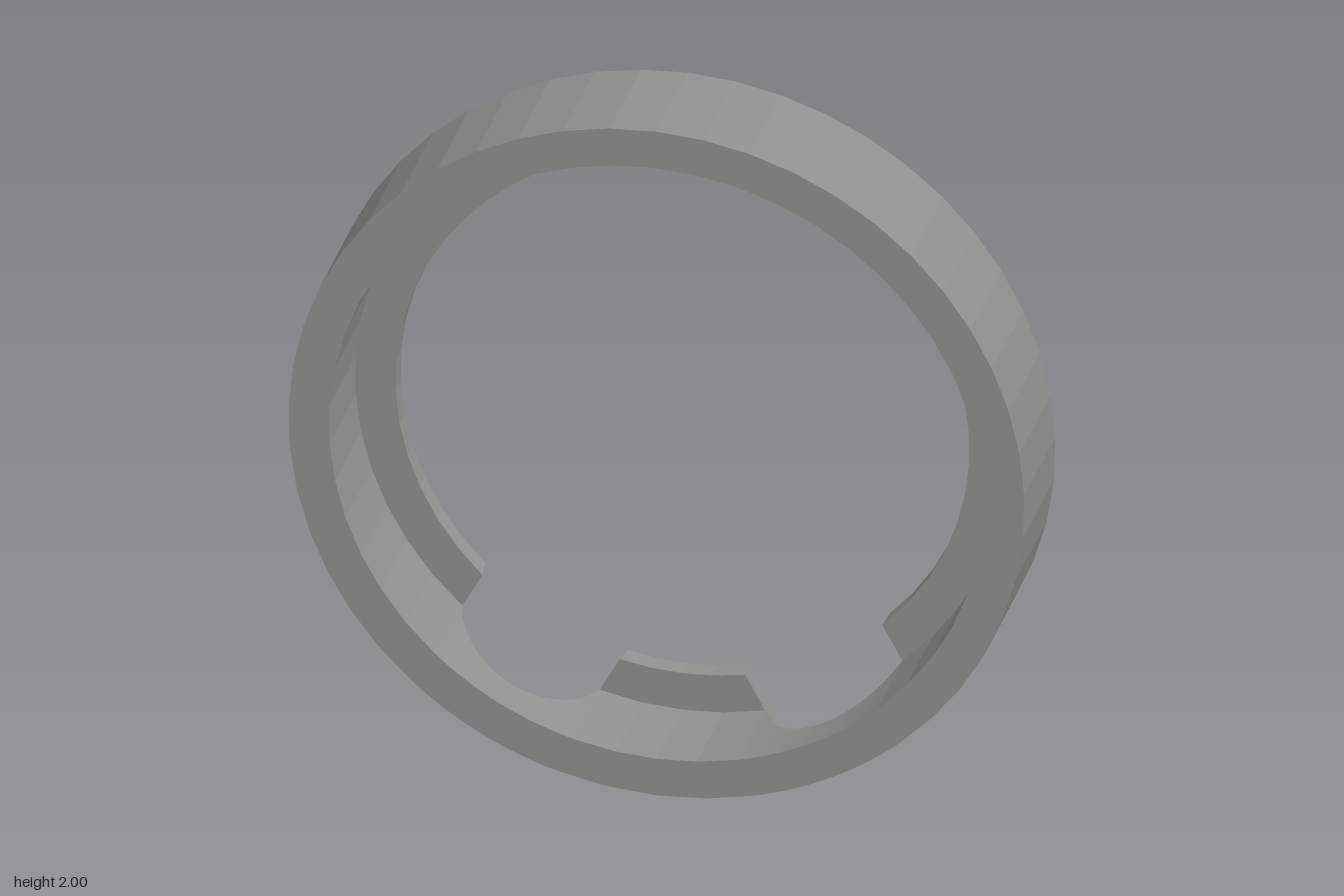
import * as THREE from 'three';

const OUTER = 1, WALL = 0.89, LIP = 0.78;          // radii
const FRONT = 0.165, BACK = -0.165, LEDGE = -0.11; // depths along z
const NOTCH = 0.219;                               // radius of the round notches
const TILT = THREE.MathUtils.degToRad(28.4);       // notch direction, measured from straight down

// Cross-section stations around the ring: angle at a radius, back depth, lip present or not
function makeStations() {
  const stations = [];
  const arc = (from, to, steps) => { // plain ring between two notches
    for (let i = 0; i <= steps; i++) {
      const t = i / steps;
      stations.push({
        angle: r => THREE.MathUtils.lerp(from(r), to(r), t), back: BACK, lip: true,
      });
    }
  };
  const notch = centre => { // half-round channel running straight out through the ring
    const cut = (a, lip) => stations.push({
      angle: r => centre + Math.asin(-NOTCH * Math.cos(a) / r),
      back: BACK + NOTCH * Math.sin(a), lip,
    });
    const lipEnd = Math.asin((LEDGE - BACK) / NOTCH);
    cut(lipEnd / 2, true);
    cut(lipEnd, true);
    const steps = 20;
    for (let i = 0; i <= steps; i++) cut(lipEnd + (Math.PI - 2 * lipEnd) * i / steps, false);
    cut(Math.PI - lipEnd, true);
    cut(Math.PI - lipEnd / 2, true);
  };
  const edge = (centre, side) => r => centre + side * Math.asin(NOTCH / r);
  arc(edge(-TILT, 1), edge(TILT, -1), 4);
  notch(TILT);
  arc(edge(TILT, 1), edge(2 * Math.PI - TILT, -1), 38);
  notch(2 * Math.PI - TILT);
  return stations;
}

function ringGeometry() {
  const stations = makeStations();
  // Closed profile of wall and inner lip, placed at every station
  const rings = stations.map(({ angle, back, lip }) => {
    const ledge = Math.max(back, LEDGE);
    const inner = lip ? LIP : WALL;
    return [
      [OUTER, back], [OUTER, FRONT], [WALL, FRONT],
      [WALL, ledge], [inner, ledge], [inner, back],
    ].map(([r, z]) => [r * Math.sin(angle(r)), 1 - r * Math.cos(angle(r)), z]);
  });
  const positions = [];
  const triangle = (a, b, c) => {
    const [p, q, s] = [a, b, c].map(v => new THREE.Vector3(...v));
    if (q.sub(p).cross(s.sub(p)).length() > 1e-9) positions.push(...a, ...b, ...c);
  };
  rings.forEach((ring, i) => {
    const next = rings[(i + 1) % rings.length];
    for (let k = 0; k < 6; k++) {
      const m = (k + 1) % 6;
      triangle(ring[k], next[k], next[m]);
      triangle(ring[k], next[m], ring[m]);
    }
  });
  const geometry = new THREE.BufferGeometry();
  geometry.setAttribute('position', new THREE.Float32BufferAttribute(positions, 3));
  geometry.computeVertexNormals(); // unshared corners keep the facets flat
  return geometry;
}

export function createModel() {
  const group = new THREE.Group();
  group.name = 'retainingRing';
  const grey = new THREE.MeshStandardMaterial({ color: 0x8f928e });
  grey.name = 'grey';
  const ring = new THREE.Mesh(ringGeometry(), grey);
  ring.name = 'notchedRingWithLip';
  group.add(ring);
  return group;
}
